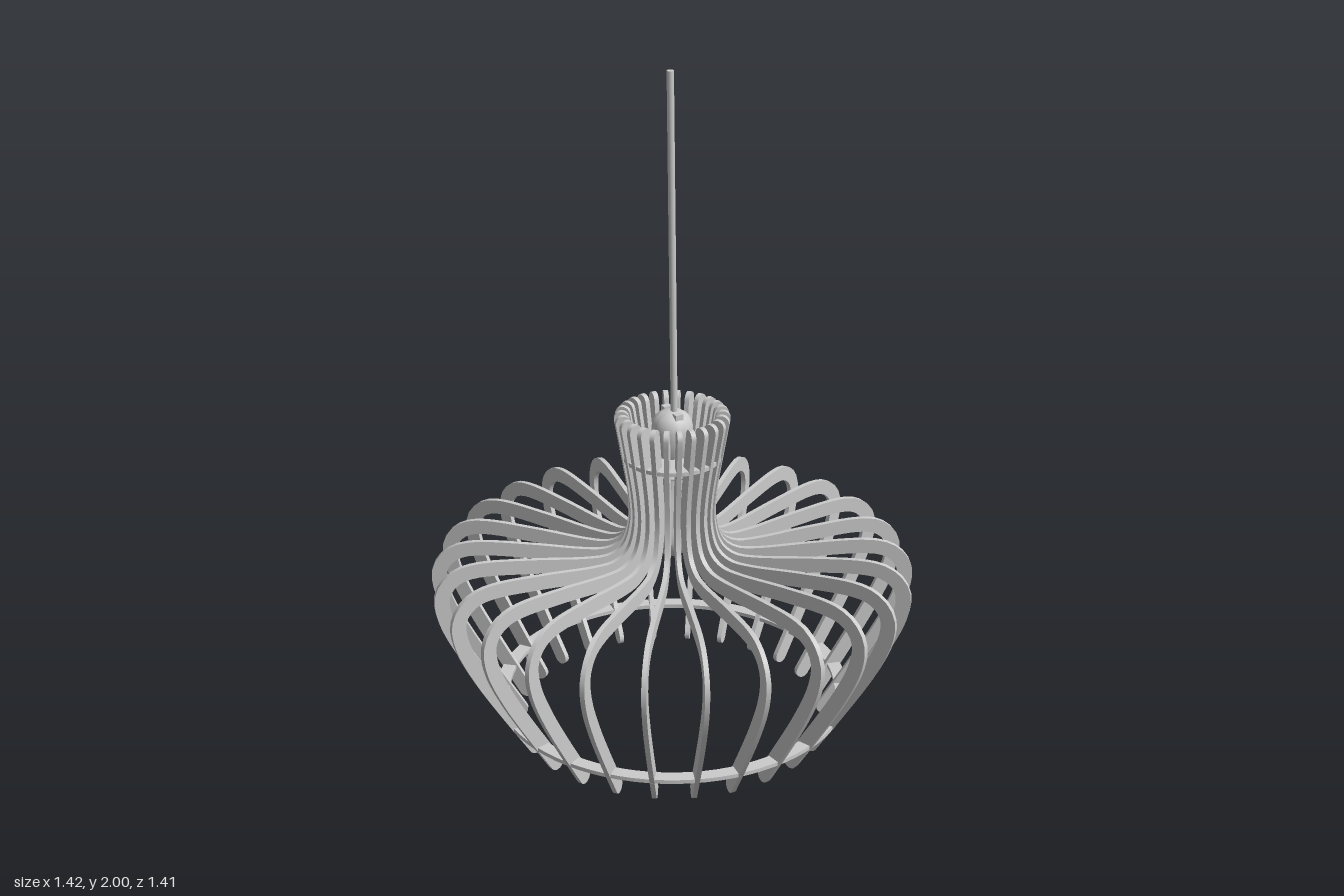
import * as THREE from 'three';
import { toCreasedNormals } from 'three/addons/utils/BufferGeometryUtils.js';

const RIBS = 26;
const HALF_WIDTH = 0.022;
const THICKNESS = 0.014;

const v2 = (pairs) => pairs.map(([x, y]) => new THREE.Vector2(x, y));

// Flat band of constant width with round ends, following a centre line
function bandShape(points, half) {
  const curve = new THREE.SplineCurve(v2(points));
  const n = 64;
  const left = [], right = [];
  const centres = curve.getSpacedPoints(n);
  centres.forEach((p, i) => {
    const t = curve.getTangentAt(i / n);
    left.push(new THREE.Vector2(p.x - t.y * half, p.y + t.x * half));
    right.push(new THREE.Vector2(p.x + t.y * half, p.y - t.x * half));
  });
  const cap = (centre, from) => {
    const start = Math.atan2(from.y - centre.y, from.x - centre.x);
    return [1, 2, 3, 4, 5, 6, 7].map((k) => {
      const a = start - (k / 8) * Math.PI;
      return new THREE.Vector2(centre.x + Math.cos(a) * half, centre.y + Math.sin(a) * half);
    });
  };
  return new THREE.Shape([
    ...left, ...cap(centres[n], left[n]),
    ...right.reverse(), ...cap(centres[0], right[n]),
  ]);
}

export function createModel() {
  const group = new THREE.Group();
  const material = new THREE.MeshStandardMaterial({ color: 0xcccccc });
  const add = (name, geometry, parent = group) => {
    const mesh = new THREE.Mesh(geometry, material);
    mesh.name = name;
    parent.add(mesh);
    return mesh;
  };
  const lathe = (name, profile, segments = 40) =>
    add(name, toCreasedNormals(new THREE.LatheGeometry(v2(profile), segments), 0.6));

  // Shade ribs: neck, shoulder and inward-curving leg in one cut-out band
  const ribGeometry = new THREE.ExtrudeGeometry(bandShape([
    [0.145, 0.983], [0.126, 0.87], [0.109, 0.76], [0.106, 0.67], [0.128, 0.59],
    [0.18, 0.549], [0.26, 0.544], [0.42, 0.56], [0.57, 0.569], [0.645, 0.55],
    [0.684, 0.495], [0.673, 0.41], [0.62, 0.295], [0.545, 0.165], [0.458, 0.024],
  ], HALF_WIDTH), { depth: THICKNESS, bevelEnabled: false });
  ribGeometry.translate(0, 0, -THICKNESS / 2);
  const ribMesh = toCreasedNormals(ribGeometry, 0.6);
  const ribs = new THREE.Group();
  ribs.name = 'shadeRibs';
  group.add(ribs);
  for (let i = 0; i < RIBS; i++) {
    add('rib', ribMesh, ribs).rotation.y = (i / RIBS) * Math.PI * 2;
  }

  // Flat rings that hold the ribs together
  const ring = (name, inner, outer, y, height) => lathe(name, [
    [inner, y - height / 2], [outer, y - height / 2], [outer, y + height / 2],
    [inner, y + height / 2], [inner, y - height / 2],
  ], 80);
  ring('lowerRing', 0.488, 0.528, 0.1, 0.012);
  ring('neckDisc', 0.04, 0.145, 0.87, 0.012);

  // Lamp holder with a domed cap
  lathe('lampHolder', [
    [0, 0.8], [0.042, 0.8], [0.045, 0.86], [0.058, 0.88], [0.06, 0.955],
    [0.056, 0.975], [0.045, 0.992], [0.028, 1.003], [0, 1.008],
  ]);

  // Collar threads on the holder
  for (let i = 0; i < 4; i++) {
    const thread = new THREE.TorusGeometry(0.046, 0.006, 8, 32);
    thread.rotateX(Math.PI / 2).translate(0, 0.81 + i * 0.017, 0);
    add('collarThread', thread);
  }

  // Cord grip blocks on top of the cap
  for (const z of [-0.035, 0.035]) {
    add('cordGrip', new THREE.BoxGeometry(0.025, 0.02, 0.02).translate(0, 0.998, z));
  }

  // Bulb
  lathe('bulb', [
    [0, 0.546], [0.025, 0.551], [0.048, 0.566], [0.063, 0.588], [0.068, 0.615],
    [0.065, 0.645], [0.054, 0.69], [0.041, 0.74], [0.035, 0.78], [0.034, 0.81],
  ]);

  // Hanging cord, leaning very slightly
  const cord = new THREE.LineCurve3(
    new THREE.Vector3(0.004, 0.99, 0.004), new THREE.Vector3(-0.004, 2, -0.004));
  add('cord', new THREE.TubeGeometry(cord, 1, 0.01, 12));
  add('cordEnd', new THREE.CircleGeometry(0.01, 12).rotateX(-Math.PI / 2).translate(-0.004, 2, -0.004));

  return group;
}
